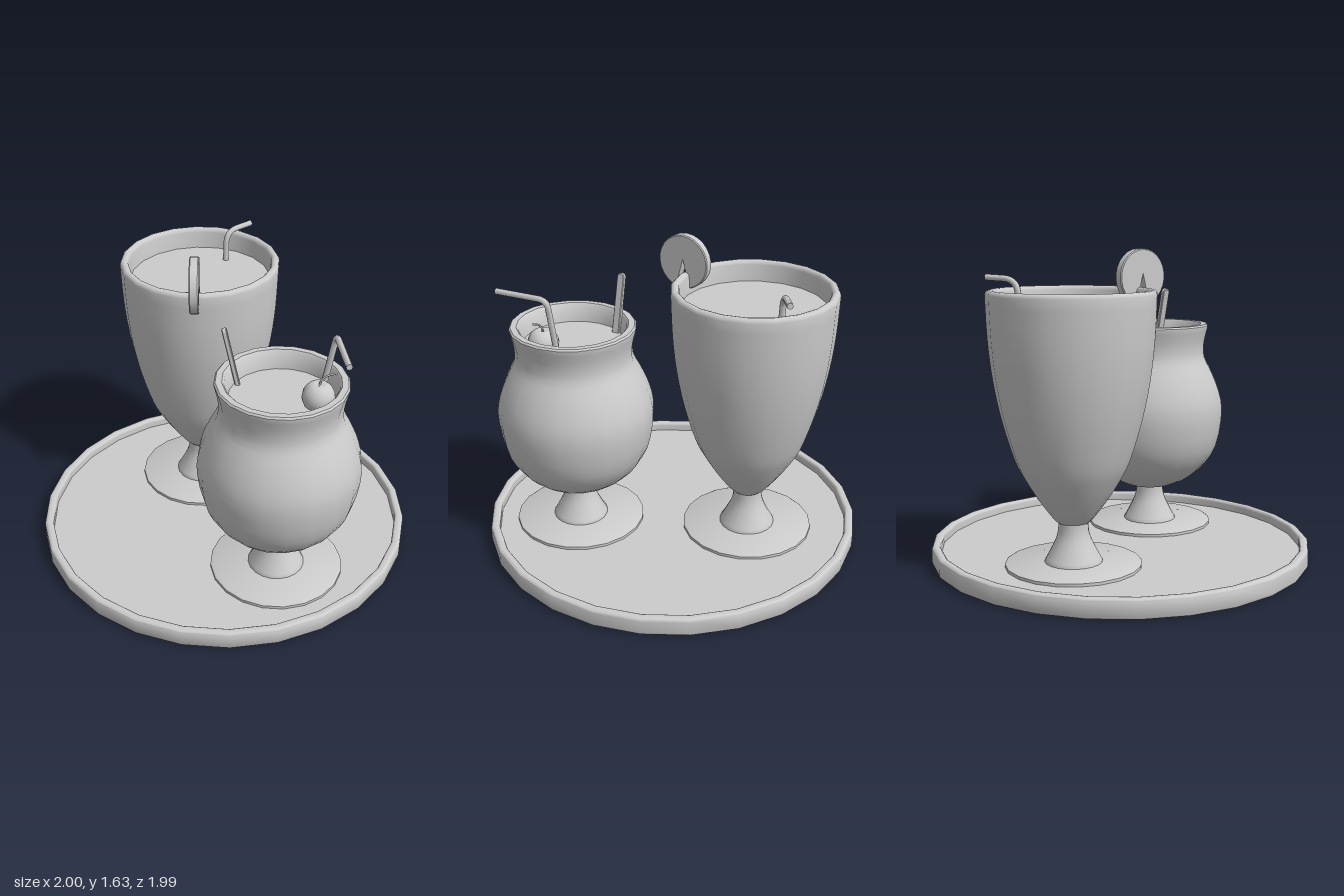
import * as THREE from 'three';
import { toCreasedNormals } from 'three/addons/utils/BufferGeometryUtils.js';

const material = new THREE.MeshStandardMaterial({ color: 0xcccccc });
const v2 = ([x, y]) => new THREE.Vector2(x, y);
const v3 = (p) => new THREE.Vector3(...p);

function add(parent, name, geometry, position = [0, 0, 0]) {
  const mesh = new THREE.Mesh(geometry, material);
  mesh.name = name;
  mesh.position.set(...position);
  parent.add(mesh);
  return mesh;
}

// Revolve a profile that runs from the underside outward and up
const turn = (points, sides) =>
  toCreasedNormals(new THREE.LatheGeometry(points.map(v2), sides, Math.PI / 2), 0.7);

// Smooth a few profile points into a finer curve
const smooth = (points, count) =>
  new THREE.SplineCurve(points.map(v2)).getPoints(count).map((p) => [p.x, p.y]);

// Quarter-turn arcs that round an edge, from one angle to another
const arc = (x, y, r, from, to, steps = 4) =>
  Array.from({ length: steps + 1 }, (_, i) => {
    const a = from + ((to - from) * i) / steps;
    return [x + r * Math.cos(a), y + r * Math.sin(a)];
  });

// Foot, stem, hollow bowl with a rounded lip, and drink of one footed glass
function glass(name, [x, z], bowl, lip, inside, [drinkRadius, drinkY]) {
  const group = new THREE.Group();
  group.name = name;
  group.position.set(x, 0, z);
  const sides = 20;
  const stem = smooth([[0.147, 0.075], [0.125, 0.115], [0.093, 0.18], [0.078, 0.23], [0.075, 0.285]], 8);
  add(group, 'foot', turn([[0, 0.045], [0.347, 0.045], [0.347, 0.065], [0.337, 0.071], [0, 0.071]], sides));
  add(group, 'stem', turn([[0.147, 0.065], ...stem], sides));
  add(group, 'bowl', turn([[0, 0.275], ...smooth(bowl, 24), ...lip, ...inside], sides));
  add(group, 'drink', turn([[drinkRadius, drinkY], [0, drinkY]], sides));
  return group;
}

// Bent drinking straw: two straight runs joined by a rounded corner
function straw(base, corner, end, bend) {
  const [b, c, e] = [base, corner, end].map(v3);
  const p = c.clone().add(b.clone().sub(c).setLength(bend));
  const q = c.clone().add(e.clone().sub(c).setLength(bend));
  const path = new THREE.CurvePath();
  path.add(new THREE.LineCurve3(b, p));
  path.add(new THREE.QuadraticBezierCurve3(p, c, q));
  path.add(new THREE.LineCurve3(q, e));
  const group = new THREE.Group();
  group.name = 'straw';
  add(group, 'strawTube', new THREE.TubeGeometry(path, 32, 0.016, 8));
  // Closing disc on the free end
  const cap = add(group, 'strawEnd', new THREE.CircleGeometry(0.016, 8), end);
  cap.lookAt(e.clone().multiplyScalar(2).sub(c));
  return group;
}

// Flat extrusion centred on its own thickness
function slab(shape, depth, bevel) {
  const geometry = new THREE.ExtrudeGeometry(shape, {
    depth: depth - 2 * bevel, bevelSize: bevel, bevelThickness: bevel,
    bevelOffset: -bevel, bevelSegments: 1, curveSegments: 10,
  });
  geometry.translate(0, 0, bevel - depth / 2);
  return toCreasedNormals(geometry, 0.6);
}

export function createModel() {
  const model = new THREE.Group();
  model.name = 'drinksTray';
  const half = Math.PI / 2;

  // Round tray: rounded rim around a thin floor, slightly hollow beneath
  add(model, 'tray', turn([
    [0, 0.008], [0.955, 0.008], [0.962, 0], ...arc(0.982, 0.018, 0.018, -half, 0),
    ...arc(0.982, 0.082, 0.018, 0, half), ...arc(0.968, 0.085, 0.015, half, 2 * half),
    [0.953, 0.05], [0, 0.05],
  ], 26));

  // Tall tapered glass at the back
  model.add(glass('tallGlass', [0.035, -0.417],
    [[0.08, 0.275], [0.11, 0.305], [0.18, 0.4], [0.242, 0.5], [0.29, 0.6], [0.35, 0.8],
      [0.39, 1], [0.412, 1.2], [0.421, 1.414]],
    arc(0.399, 1.414, 0.022, 0, 2 * half, 6),
    [[0.368, 1.28]], [0.372, 1.325]));

  // Round-bellied glass at the front
  model.add(glass('roundGlass', [0.09, 0.5],
    [[0.13, 0.278], [0.22, 0.32], [0.315, 0.4], [0.383, 0.52], [0.412, 0.7], [0.394, 0.82],
      [0.35, 0.93], [0.31, 1.01], [0.304, 1.07], [0.31, 1.12], [0.326, 1.185]],
    [[0.326, 1.192], [0.318, 1.201], [0.287, 1.201], [0.277, 1.19]],
    [[0.258, 1.11], [0.25, 1.04]], [0.26, 1.105]));

  model.add(straw([0.24, 1.28, -0.56], [0.25, 1.487, -0.57], [0.408, 1.495, -0.607], 0.07));
  model.add(straw([0.285, 1.08, 0.53], [0.335, 1.422, 0.56], [0.255, 1.422, 0.835], 0.045));

  // Fruit slice, slit from its centre to straddle the rim
  const radius = 0.142;
  const slit = 0.25;
  const fruit = new THREE.Shape();
  fruit.moveTo(0, 0.01);
  for (let i = 0; i <= 24; i++) {
    const a = -half + slit + (i / 24) * (4 * half - 2 * slit);
    fruit.lineTo(radius * Math.cos(a), radius * Math.sin(a));
  }
  fruit.closePath();
  const slice = add(model, 'fruitSlice', slab(fruit, 0.047, 0.005), [-0.14, 1.487, -0.043]);
  slice.rotation.y = 1.17;

  // Flat stirring stick with a rounded tip
  const stick = new THREE.Shape();
  stick.moveTo(-0.021, -0.17);
  stick.lineTo(0.021, -0.17);
  stick.lineTo(0.021, 0.149);
  stick.absarc(0, 0.149, 0.021, 0, Math.PI);
  stick.closePath();
  const holder = new THREE.Group();
  holder.name = 'stirringStick';
  holder.position.set(-0.085, 1.245, 0.295);
  holder.quaternion.setFromUnitVectors(v3([0, 1, 0]), v3([-0.2, 1, -0.08]).normalize());
  add(holder, 'stick', slab(stick, 0.024, 0.004)).rotation.y = 1.2;
  model.add(holder);

  // Cherry with a dimpled top and a curved stalk
  const cherry = new THREE.Group();
  cherry.name = 'cherry';
  cherry.position.set(0.225, 1.147, 0.62);
  const flesh = new THREE.SphereGeometry(0.08, 16, 12);
  const pos = flesh.attributes.position;
  for (let i = 0; i < pos.count; i++) {
    const d = Math.hypot(pos.getX(i), pos.getZ(i));
    if (pos.getY(i) > 0) pos.setY(i, pos.getY(i) - 0.018 * Math.max(0, 1 - d / 0.035));
  }
  flesh.computeVertexNormals();
  add(cherry, 'cherryFlesh', flesh);
  const stalk = new THREE.CatmullRomCurve3([[0, 0.05, 0], [0.01, 0.085, 0], [0.035, 0.112, 0.012], [0.075, 0.128, 0.032]].map(v3));
  add(cherry, 'cherryStalk', new THREE.TubeGeometry(stalk, 10, 0.005, 6));
  model.add(cherry);

  return model;
}
